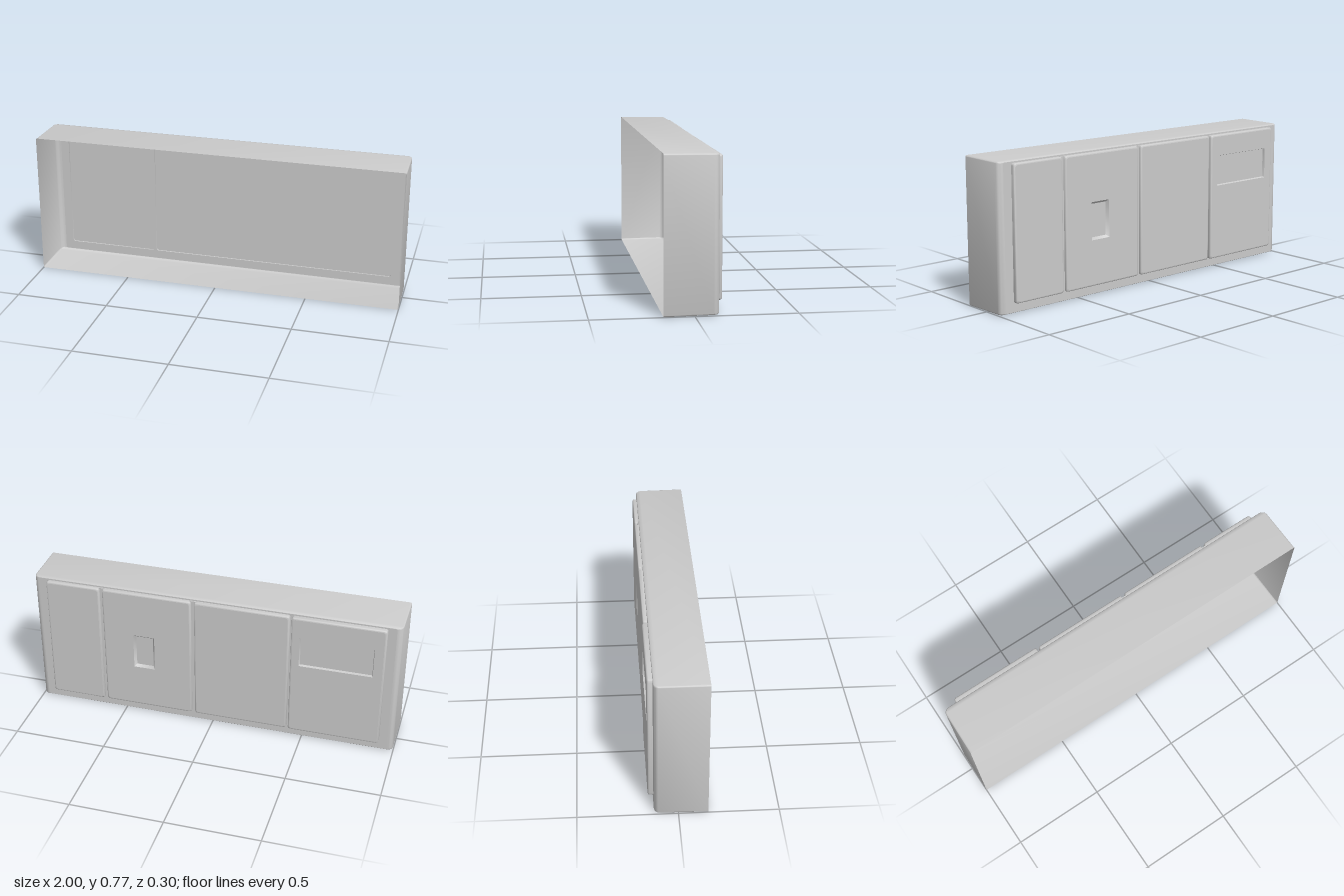
import * as THREE from 'three';
import { toCreasedNormals } from 'three/addons/utils/BufferGeometryUtils.js';

const material = new THREE.MeshStandardMaterial({ color: 0xcccccc, side: THREE.DoubleSide });

// Rounded rectangle outline as counter-clockwise points, four points per corner
function outline([x0, x1, y0, y1], inset = 0, radius = 0.012) {
  const r = Math.max(radius, 0.0005), pts = [];
  const l = x0 + inset, R = x1 - inset, b = y0 + inset, t = y1 - inset;
  const corners = [[R - r, b + r, -1], [R - r, t - r, 0], [l + r, t - r, 1], [l + r, b + r, 2]];
  for (const [cx, cy, quarter] of corners) {
    for (let i = 0; i < 4; i++) {
      const a = (quarter + i / 3) * Math.PI / 2;
      pts.push(new THREE.Vector2(cx + r * Math.cos(a), cy + r * Math.sin(a)));
    }
  }
  return pts;
}

// Skin between stacked outlines: sections are [points, z]
function loft(sections) {
  const pos = [], index = [], n = sections[0][0].length;
  for (const [pts, z] of sections) for (const p of pts) pos.push(p.x, p.y, z);
  for (let s = 0; s < sections.length - 1; s++) {
    for (let i = 0; i < n; i++) {
      const a = s * n + i, b = s * n + (i + 1) % n;
      index.push(a, a + n, b, b, a + n, b + n);
    }
  }
  const geo = new THREE.BufferGeometry();
  geo.setAttribute('position', new THREE.Float32BufferAttribute(pos, 3));
  geo.setIndex(index);
  return toCreasedNormals(geo, 0.6);
}

// Flat sheet facing the back, with optional holes
function sheet(pts, z, holes = []) {
  const shape = new THREE.Shape(pts);
  for (const h of holes) shape.holes.push(new THREE.Path(h));
  const geo = new THREE.ShapeGeometry(shape);
  geo.rotateY(0);
  geo.translate(0, 0, z);
  // turn the faces round to look towards -z
  const idx = geo.index.array;
  for (let i = 0; i < idx.length; i += 3) [idx[i], idx[i + 1]] = [idx[i + 1], idx[i]];
  geo.computeVertexNormals();
  return geo;
}

function part(name, ...geometries) {
  const group = new THREE.Group();
  group.name = name;
  for (const geo of geometries) {
    const mesh = new THREE.Mesh(geo, material);
    mesh.name = name + 'Surface';
    group.add(mesh);
  }
  return group;
}

export function createModel() {
  const model = new THREE.Group();
  model.name = 'panelHousing';
  const Y0 = 0.055, Y1 = 0.755;
  const backZ = -0.12, trayZ = -0.128;

  // Shallow trays behind the raised panels
  const trays = [[-0.922, -0.428, Y0, Y1], [-0.417, 0.92, Y0, Y1]];

  // Open-fronted shell with softly rounded back edges
  const sections = [[outline([-1, 1, 0, 0.77], 0, 0.008), 0.148]];
  for (let i = 0; i <= 6; i++) {
    const a = i / 6 * Math.PI / 2, c = 1 - Math.cos(a), s = Math.sin(a);
    const w = 0.997 - 0.03 * c, e = 0.002 + 0.006 * c;
    sections.push([outline([-w, w, e, 0.77 - e], 0, 0.008), -0.09 - 0.03 * s]);
  }
  const rim = sections[sections.length - 1][0];
  model.add(part('shell', loft(sections), sheet(rim, backZ, trays.map(t => outline(t)))));

  for (const t of trays) {
    model.add(part('tray', loft([[outline(t), backZ], [outline(t), trayZ]]), sheet(outline(t), trayZ)));
  }

  // Raised panels, two of them with a recess
  const panels = [
    { name: 'slotPanel', rect: [-0.922, -0.428, Y0, Y1], z: -0.148,
      recess: [-0.865, -0.475, 0.47, 0.64], taper: 0.004, floor: -0.135 },
    { name: 'plainPanel', rect: [-0.417, 0.095, Y0, Y1], z: -0.144 },
    { name: 'handlePanel', rect: [0.113, 0.604, Y0, Y1], z: -0.144,
      recess: [0.318, 0.436, 0.3, 0.5], taper: 0.012, floor: -0.1295 },
    { name: 'narrowPanel', rect: [0.62, 0.92, Y0, Y1], z: -0.144 },
  ];
  for (const { name, rect, z, recess, taper, floor } of panels) {
    const f = 0.009;
    const layers = [[outline(rect), trayZ]];
    for (let i = 0; i <= 4; i++) {
      const a = i / 4 * Math.PI / 2;
      layers.push([outline(rect, f * (1 - Math.cos(a))), z + f * (1 - Math.sin(a))]);
    }
    const face = layers[layers.length - 1][0];
    const holes = recess ? [outline(recess, 0, 0.002)] : [];
    const panel = part(name, loft(layers), sheet(face, z, holes));
    if (recess) {
      const bottom = outline(recess, taper, 0.002);
      panel.add(part('recess', loft([[bottom, floor], [holes[0], z]].reverse()), sheet(bottom, floor)));
    }
    model.add(panel);
  }
  return model;
}
